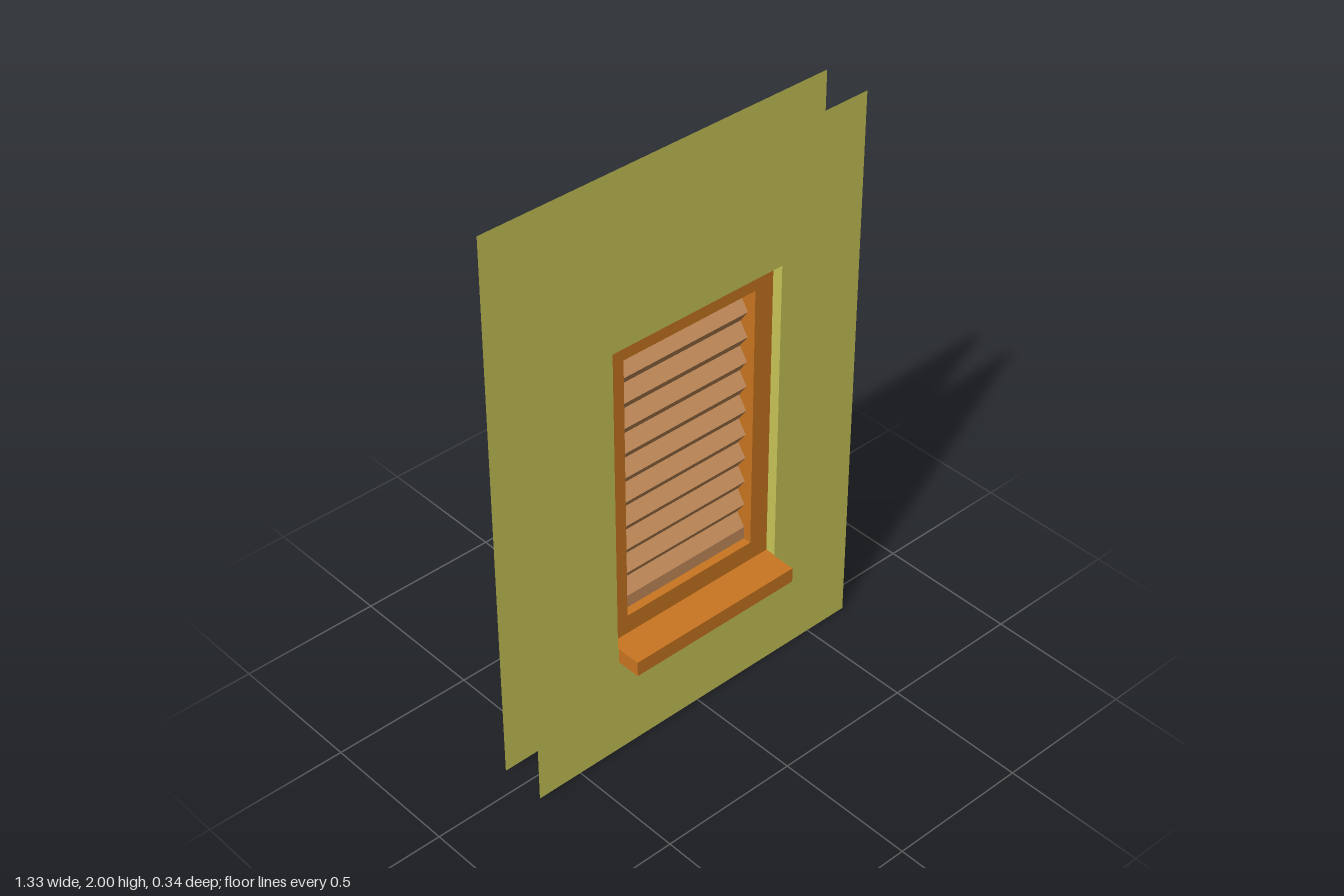
import * as THREE from 'three';

const BOTTOM = 0.42, TOP = 1.535, HALF = 0.335;            // wall opening
const IN_BOTTOM = 0.49, IN_TOP = 1.46, IN_HALF = 0.262;    // frame opening
const WALL_Z = 0.083, FRAME_Z = 0.046, SILL_Z = 0.17;

function material(name, color) {
  const m = new THREE.MeshStandardMaterial({ color, side: THREE.DoubleSide });
  m.name = name;
  return m;
}

// Flat rectangle with a rectangular hole, each given as [halfWidth, bottom, top]
function ring([w, b, t], [hw, hb, ht]) {
  const rect = (h, lo, hi) => [[-h, lo], [h, lo], [h, hi], [-h, hi]].map(p => new THREE.Vector2(...p));
  const shape = new THREE.Shape(rect(w, b, t));
  shape.holes.push(new THREE.Path(rect(hw, hb, ht).reverse()));
  return new THREE.ShapeGeometry(shape);
}

// Sharp-edged sheet: a polyline in xy swept along z from z0 to z1
function sheet(points, z0, z1) {
  const pos = [];
  for (let i = 0; i < points.length - 1; i++) {
    const [ax, ay] = points[i], [bx, by] = points[i + 1];
    pos.push(ax, ay, z0, bx, by, z0, bx, by, z1, ax, ay, z0, bx, by, z1, ax, ay, z1);
  }
  const g = new THREE.BufferGeometry();
  g.setAttribute('position', new THREE.Float32BufferAttribute(pos, 3));
  g.computeVertexNormals();
  return g;
}

export function createModel() {
  const model = new THREE.Group();
  const wallPaint = material('yellow wall', 0xcac659);
  const wood = material('orange wood', 0xca7620);
  const blindTan = material('tan blind', 0xc88f5c);

  const add = (parent, name, geometry, mat) => {
    const mesh = new THREE.Mesh(geometry, mat);
    mesh.name = name;
    parent.add(mesh);
    return mesh;
  };

  // Both faces of the wall are alike, turned half around
  ['front', 'back'].forEach((sideName, i) => {
    const side = new THREE.Group();
    side.name = sideName + 'Side';
    side.rotation.y = i * Math.PI;
    model.add(side);

    add(side, 'wall', ring([0.667, 0, 2], [HALF, BOTTOM, TOP]), wallPaint).position.z = WALL_Z;
    add(side, 'reveal', sheet([[-HALF, BOTTOM], [-HALF, TOP], [HALF, TOP], [HALF, BOTTOM]], FRAME_Z, WALL_Z), wallPaint);
    add(side, 'frame', ring([HALF, BOTTOM, TOP], [IN_HALF, IN_BOTTOM, IN_TOP]), wood).position.z = FRAME_Z;
    add(side, 'sillBed', sheet([[-HALF, BOTTOM], [HALF, BOTTOM]], FRAME_Z, WALL_Z), wood);

    const sill = add(side, 'sill', new THREE.BoxGeometry(0.664, 0.055, SILL_Z - WALL_Z), wood);
    sill.position.set(0, BOTTOM - 0.0275, (SILL_Z + WALL_Z) / 2);
  });

  // Inner lining through the frame
  const lining = [[-IN_HALF, IN_BOTTOM], [-IN_HALF, IN_TOP], [IN_HALF, IN_TOP], [IN_HALF, IN_BOTTOM], [-IN_HALF, IN_BOTTOM]];
  add(model, 'frameLining', sheet(lining, -FRAME_Z, FRAME_Z), wood);

  // Pleated blind: zigzag sheet ending in a flat strip
  const profile = [];
  for (let i = 0; i <= 20; i++) profile.push([i % 2 ? 0.016 : -0.016, IN_TOP - i * 0.0462]);
  profile.push([-0.016, IN_BOTTOM]);
  add(model, 'blind', sheet(profile, -0.285, 0.285), blindTan).rotation.y = Math.PI / 2;

  return model;
}
